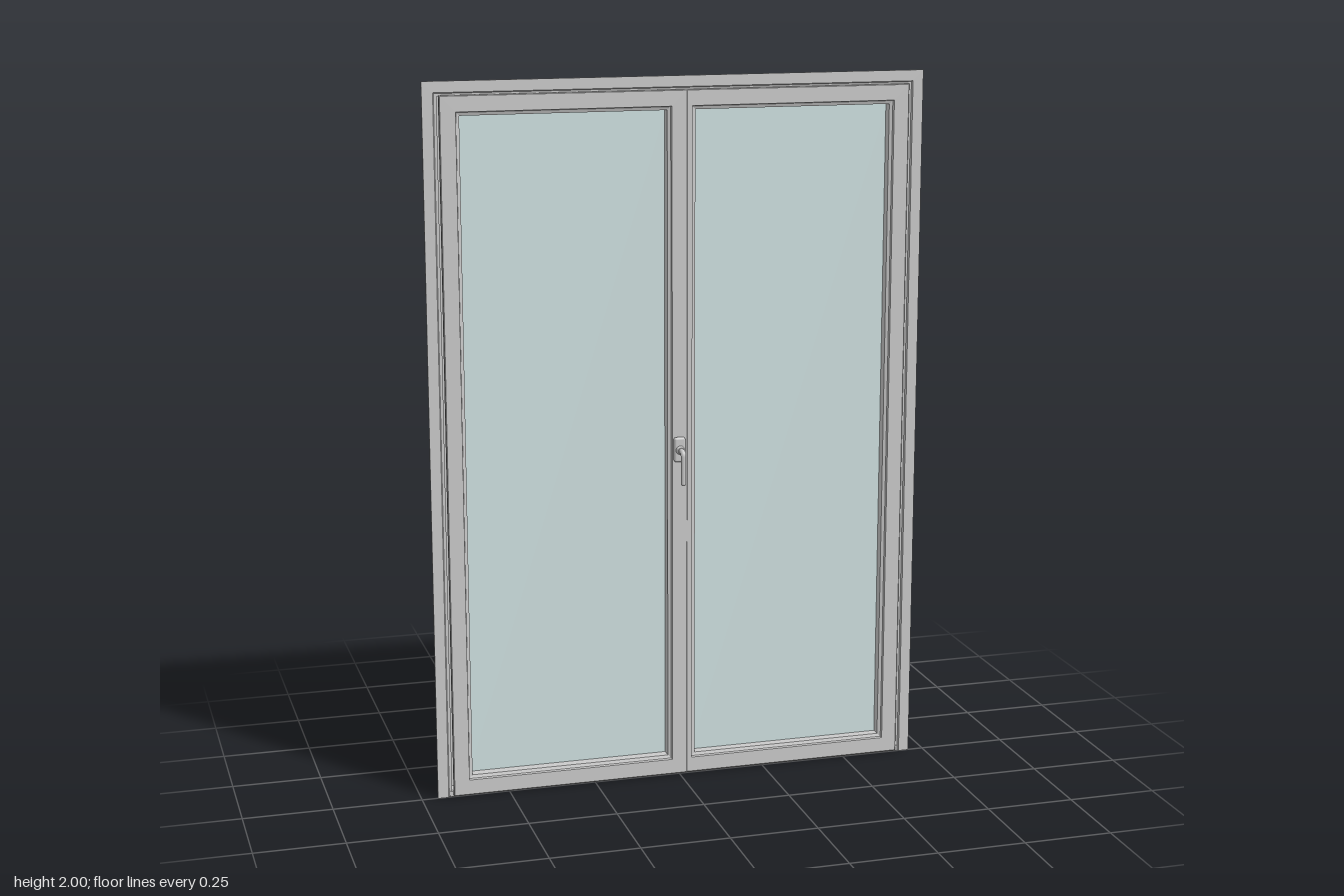
import * as THREE from 'three';
import { RoundedBoxGeometry } from 'three/addons/geometries/RoundedBoxGeometry.js';

const grey = new THREE.MeshStandardMaterial({ color: 0xcccccc });
const greyDouble = new THREE.MeshStandardMaterial({ color: 0xcccccc, side: THREE.DoubleSide });
const glassMat = new THREE.MeshStandardMaterial({ color: 0xd0e2e2 });

function add(parent, name, geometry, material, x = 0, y = 0, z = 0) {
  const mesh = new THREE.Mesh(geometry, material);
  mesh.name = name;
  mesh.position.set(x, y, z);
  parent.add(mesh);
  return mesh;
}

// Mitred frame: sweeps a closed [inset, z] profile around a rectangle.
// With openBottom the bottom rail is left out and the jambs run to y0.
function mitredFrame(x0, x1, y0, y1, profile, openBottom = false) {
  const corner = (c, [d, z]) => [
    c === 0 || c === 3 ? x0 + d : x1 - d,
    c < 2 ? y0 + (openBottom ? 0 : d) : y1 - d,
    z,
  ];
  const pos = [];
  for (let c = openBottom ? 1 : 0; c < 4; c++) {
    const n = (c + 1) % 4;
    profile.forEach((p, j) => {
      const q = profile[(j + 1) % profile.length];
      const [A, B, C, D] = [corner(c, p), corner(n, p), corner(n, q), corner(c, q)];
      pos.push(...A, ...B, ...C, ...A, ...C, ...D);
    });
  }
  const g = new THREE.BufferGeometry();
  g.setAttribute('position', new THREE.Float32BufferAttribute(pos, 3));
  g.computeVertexNormals();
  return g;
}

// Profiles run outer edge, front, inner edge, back
const FRAME = [
  [0, -0.003], [0, 0.002], [0.03, 0.002], [0.033, -0.003], [0.041, -0.003],
  [0.041, -0.045], [0.08, -0.045], [0.08, -0.065], [0.025, -0.065], [0.025, -0.003],
];
const SASH = [
  [0, 0.002], [0, 0.012], [0.002, 0.014], [0.044, 0.014], [0.046, 0.007], [0.055, 0.004],
  [0.055, -0.056], [0.042, -0.058], [0.042, -0.043], [0.018, -0.043], [0.018, 0.002],
];
const SEAL = [
  [0, -0.05], [0.012, -0.05], [0.016, -0.064], [0.013, -0.067], [0, -0.067],
];

export function createModel() {
  const model = new THREE.Group();
  model.name = 'doubleDoor';

  // Fixed frame with wall flange, open at the floor
  add(model, 'outerFrame', mitredFrame(-0.705, 0.705, 0, 2, FRAME, true), grey);
  for (const s of [-1, 1]) {
    const shape = new THREE.Shape(FRAME.map(([d, z]) => new THREE.Vector2(s * (0.705 - d), z)));
    add(model, 'jambFoot', new THREE.ShapeGeometry(shape).rotateX(Math.PI / 2), greyDouble);
  }

  // Low threshold with a stepped rear lip
  add(model, 'threshold', new THREE.BoxGeometry(1.34, 0.016, 0.062), grey, 0, 0.008, -0.032);
  add(model, 'thresholdLip', new THREE.BoxGeometry(1.3, 0.028, 0.016), grey, 0, 0.014, -0.056);

  // Two sashes; the one carrying the handle overlaps the other at the centre
  const sashes = [
    { name: 'rightSash', x0: -0.661, x1: 0.02, z: 0, seal: [-0.636, -0.02] },
    { name: 'leftSash', x0: -0.01, x1: 0.661, z: -0.002, seal: [0.03, 0.636] },
  ];
  for (const { name, x0, x1, z, seal } of sashes) {
    const sash = new THREE.Group();
    sash.name = name;
    add(sash, 'sashFrame', mitredFrame(x0, x1, 0.006, 1.963, SASH), grey, 0, 0, z);
    add(sash, 'rearSeal', mitredFrame(seal[0], seal[1], 0.036, 1.937, SEAL), grey);
    add(sash, 'glassPane', new THREE.BoxGeometry(x1 - x0 - 0.1, 1.86, 0.02), glassMat,
      (x0 + x1) / 2, 0.9845, -0.035);
    model.add(sash);
  }

  // Rear cover strip where the sashes meet
  add(model, 'meetingStrip', new THREE.BoxGeometry(0.05, 1.9, 0.03), grey, 0.005, 0.985, -0.047);

  // Lever handle
  const handle = new THREE.Group();
  handle.name = 'handle';
  handle.position.set(-0.005, 0.966, 0);
  add(handle, 'handlePlate', new RoundedBoxGeometry(0.032, 0.07, 0.016, 3, 0.006), grey, 0, 0, 0.02);
  add(handle, 'handleCollar', new THREE.CylinderGeometry(0.009, 0.013, 0.014, 24).rotateX(Math.PI / 2),
    grey, 0, 0, 0.033);
  const path = new THREE.CurvePath();
  const v = (y, z) => new THREE.Vector3(0, y, z);
  path.add(new THREE.LineCurve3(v(0, 0.025), v(0, 0.048)));
  path.add(new THREE.QuadraticBezierCurve3(v(0, 0.048), v(0, 0.06), v(-0.012, 0.06)));
  path.add(new THREE.LineCurve3(v(-0.012, 0.06), v(-0.088, 0.06)));
  add(handle, 'lever', new THREE.TubeGeometry(path, 48, 0.0075, 14), grey);
  add(handle, 'leverTip', new THREE.SphereGeometry(0.0075, 14, 10), grey, 0, -0.088, 0.06);
  model.add(handle);

  return model;
}
